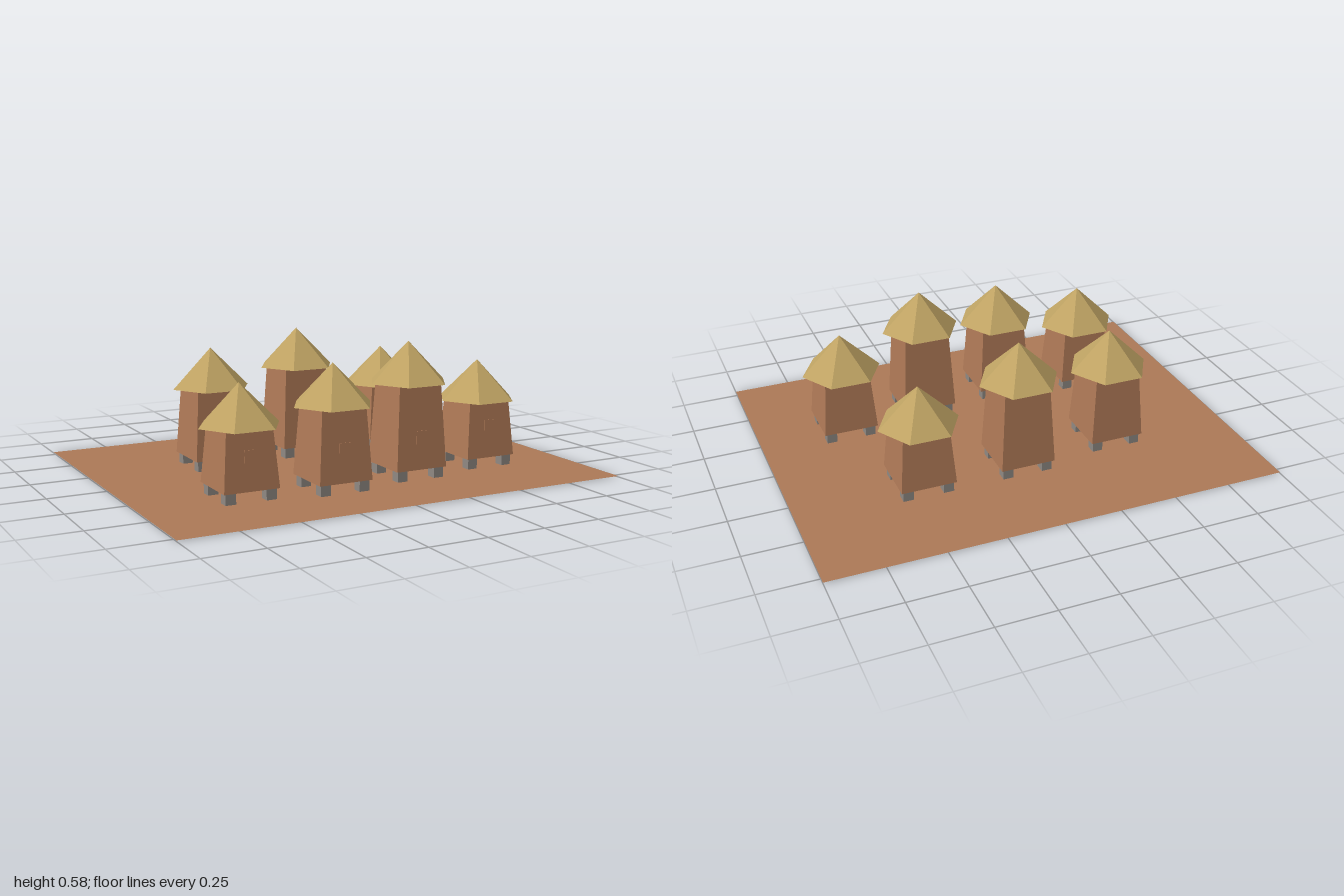
import * as THREE from 'three';

const mat = (name, color, extra = {}) => {
  const m = new THREE.MeshStandardMaterial({ color, flatShading: true, ...extra });
  m.name = name;
  return m;
};

const LEG_TOP = 0.05;
const ROOF_HEIGHT = 0.172;

export function createModel() {
  const mud = mat('mud wall', 0xb07a57);
  const earth = mat('earth', 0xac7957, { side: THREE.DoubleSide });
  const thatch = mat('thatch', 0xc0a464);
  const stone = mat('stone', 0x8f8983);

  const village = new THREE.Group();
  village.name = 'granaryVillage';

  const add = (parent, name, geometry, material, x = 0, y = 0, z = 0) => {
    const mesh = new THREE.Mesh(geometry, material);
    mesh.name = name;
    mesh.position.set(x, y, z);
    parent.add(mesh);
    return mesh;
  };

  // Flat earth yard
  add(village, 'ground', new THREE.PlaneGeometry(2, 1.56).rotateX(-Math.PI / 2), earth, 0, 0.004, 0);

  // One granary: four stone feet, tapered square body, hatch, six-sided thatched roof
  const createGranary = (height) => {
    const hut = new THREE.Group();
    hut.name = 'granary';
    for (const sx of [-1, 1]) {
      for (const sz of [-1, 1]) {
        add(hut, 'stoneFoot', new THREE.BoxGeometry(0.045, LEG_TOP, 0.045), stone,
          sx * 0.088, LEG_TOP / 2, sz * 0.088);
      }
    }
    const body = new THREE.CylinderGeometry(0.1 * Math.SQRT2, 0.12 * Math.SQRT2, height, 4).rotateY(Math.PI / 4);
    add(hut, 'body', body, mud, 0, LEG_TOP + height / 2, 0);

    // Hatch plate lies on the sloping front wall
    const hatchY = 0.187;
    const wallZ = 0.12 - 0.02 * (hatchY - LEG_TOP) / height;
    const hatch = add(hut, 'hatch', new THREE.BoxGeometry(0.055, 0.055, 0.006), mud, 0, hatchY, wallZ);
    hatch.rotation.x = -Math.atan(0.02 / height);

    const roof = new THREE.ConeGeometry(0.175, ROOF_HEIGHT, 6).rotateY(Math.PI / 6);
    add(hut, 'roof', roof, thatch, 0, LEG_TOP + height - 0.003 + ROOF_HEIGHT / 2, 0);
    return hut;
  };

  // x, z and body height of each granary
  const plots = [
    [-0.445, -0.223, 0.305], [0, -0.28, 0.36], [0.443, -0.28, 0.247],
    [-0.557, 0.333, 0.247], [-0.168, 0.388, 0.305], [0.222, 0.333, 0.36], [0.61, 0.277, 0.247],
  ];
  for (const [x, z, height] of plots) {
    const hut = createGranary(height);
    hut.position.set(x, 0, z);
    village.add(hut);
  }
  return village;
}
